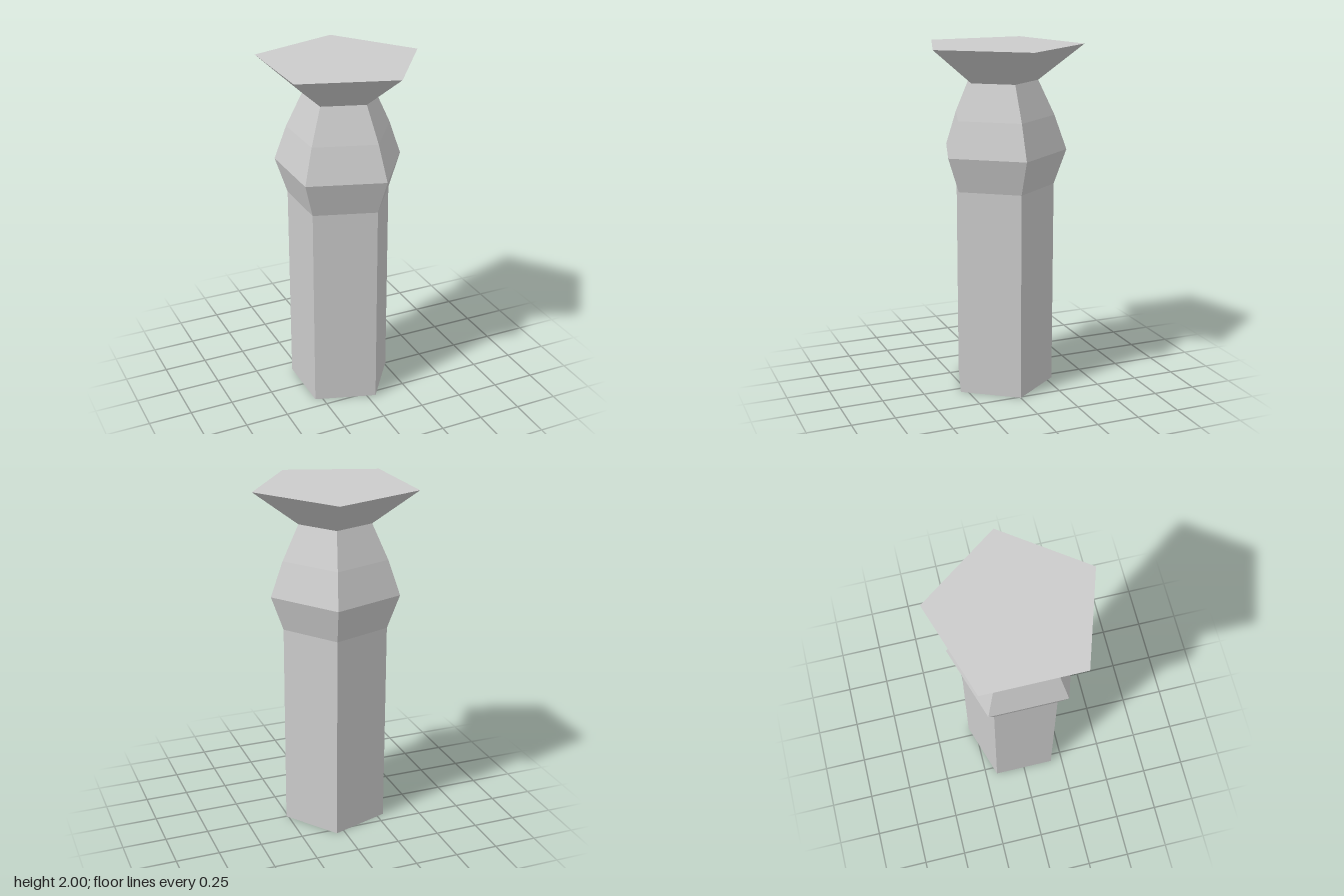
import * as THREE from 'three';

const SIDES = 5;

export function createModel() {
  const group = new THREE.Group();
  group.name = 'pentagonalColumn';
  const material = new THREE.MeshStandardMaterial({ color: 0xcccccc, flatShading: true });

  const add = (name, geometry, y) => {
    const mesh = new THREE.Mesh(geometry, material);
    mesh.name = name;
    // the pentagon points to +x, so its axis sits left of the centre of its bounds
    mesh.position.set(-0.045, y, 0);
    group.add(mesh);
  };

  // stacked bands: name, bottom y, top y, bottom radius, top radius
  const bands = [
    ['shaft', 0, 1.2, 0.306, 0.306],
    ['lowerBulge', 1.2, 1.4, 0.306, 0.377],
    ['upperBulge', 1.4, 1.6, 0.377, 0.306],
    ['neck', 1.6, 1.8, 0.306, 0.212],
    ['flaredCapital', 1.8, 2, 0.212, 0.4716],
  ];
  for (const [name, y0, y1, r0, r1] of bands) {
    const band = new THREE.CylinderGeometry(r1, r0, y1 - y0, SIDES, 1, true, Math.PI / 2);
    add(name, band, (y0 + y1) / 2);
  }

  // end faces
  add('topFace', new THREE.CircleGeometry(0.4716, SIDES).rotateX(-Math.PI / 2), 2);
  add('bottomFace', new THREE.CircleGeometry(0.306, SIDES).rotateX(Math.PI / 2), 0);

  return group;
}
